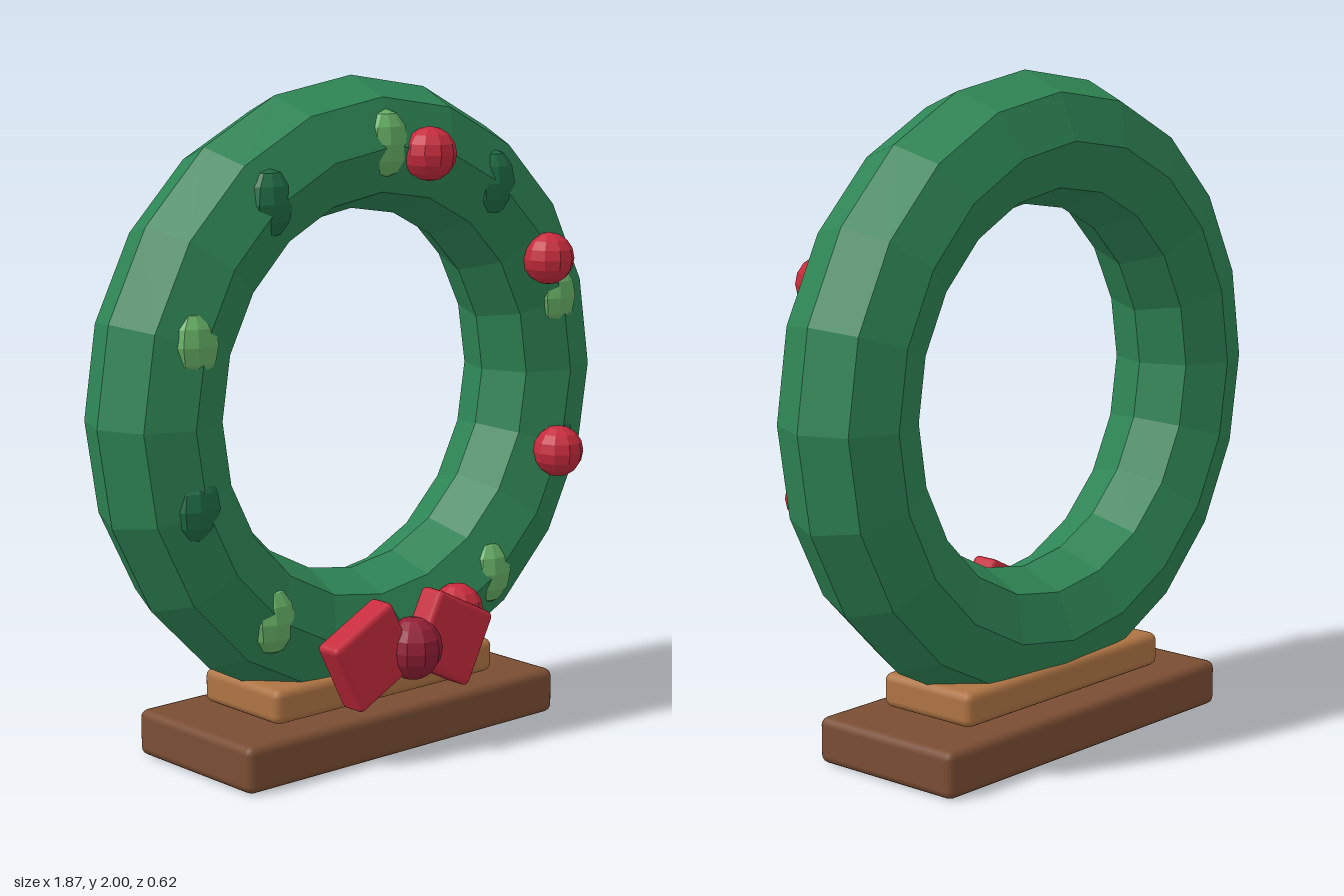
import * as THREE from 'three';
import { RoundedBoxGeometry } from 'three/addons/geometries/RoundedBoxGeometry.js';

const mat = (name, color, flatShading = true) => {
  const m = new THREE.MeshStandardMaterial({ color, flatShading });
  m.name = name;
  return m;
};

export function createModel() {
  const group = new THREE.Group();
  const green = mat('wreath green', 0x2e8555);
  const lightLeaf = mat('light leaf green', 0x66b066);
  const darkLeaf = mat('dark leaf green', 0x1f6b43);
  const red = mat('berry red', 0xc62b3d);
  const ribbon = mat('ribbon red', 0xc62b3d, false);
  const darkRed = mat('knot red', 0x921f35);
  const wood = mat('dark wood', 0x7a4d33, false);
  const paleWood = mat('pale wood', 0xae7444, false);

  const add = (name, geometry, material, x, y, z) => {
    const mesh = new THREE.Mesh(geometry, material);
    mesh.name = name;
    mesh.position.set(x, y, z);
    group.add(mesh);
    return mesh;
  };
  const ringY = 1.065;
  const ringZ = -0.05;

  // Two-step stand
  add('base', new RoundedBoxGeometry(1.23, 0.14, 0.525, 2, 0.025), wood, 0, 0.07, ringZ);
  add('upperBase', new RoundedBoxGeometry(0.875, 0.105, 0.345, 2, 0.025), paleWood, 0, 0.2, ringZ);

  // Faceted ring
  add('wreathRing', new THREE.TorusGeometry(0.74, 0.195, 8, 20), green, 0, ringY, ringZ);

  // Leaves in alternating greens, half sunk into the front ridge
  const leafGeometry = new THREE.SphereGeometry(1, 10, 6);
  for (let i = 0; i < 10; i++) {
    const a = Math.PI / 2 + (i * Math.PI) / 5;
    const leaf = add('leaf', leafGeometry, i % 2 ? darkLeaf : lightLeaf,
      0.745 * Math.cos(a), ringY + 0.745 * Math.sin(a), 0.1);
    leaf.scale.set(0.076, 0.1, 0.054);
  }

  // Berries down the left half
  const berryGeometry = new THREE.SphereGeometry(0.08, 10, 8);
  for (const degrees of [80, 30, -20, -70]) {
    const a = THREE.MathUtils.degToRad(degrees);
    add('berry', berryGeometry, red, 0.722 * Math.cos(a), ringY + 0.722 * Math.sin(a), 0.155);
  }

  // Bow with a round knot
  const loopGeometry = new RoundedBoxGeometry(0.25, 0.235, 0.09, 2, 0.018);
  for (const side of [-1, 1]) {
    const loop = add('bowLoop', loopGeometry, ribbon, side * 0.157, 0.327, 0.2);
    loop.rotation.z = -side * 0.47;
  }
  const knot = add('bowKnot', new THREE.SphereGeometry(0.09, 10, 8), darkRed, 0, 0.325, 0.225);
  knot.scale.y = 1.05;

  return group;
}
